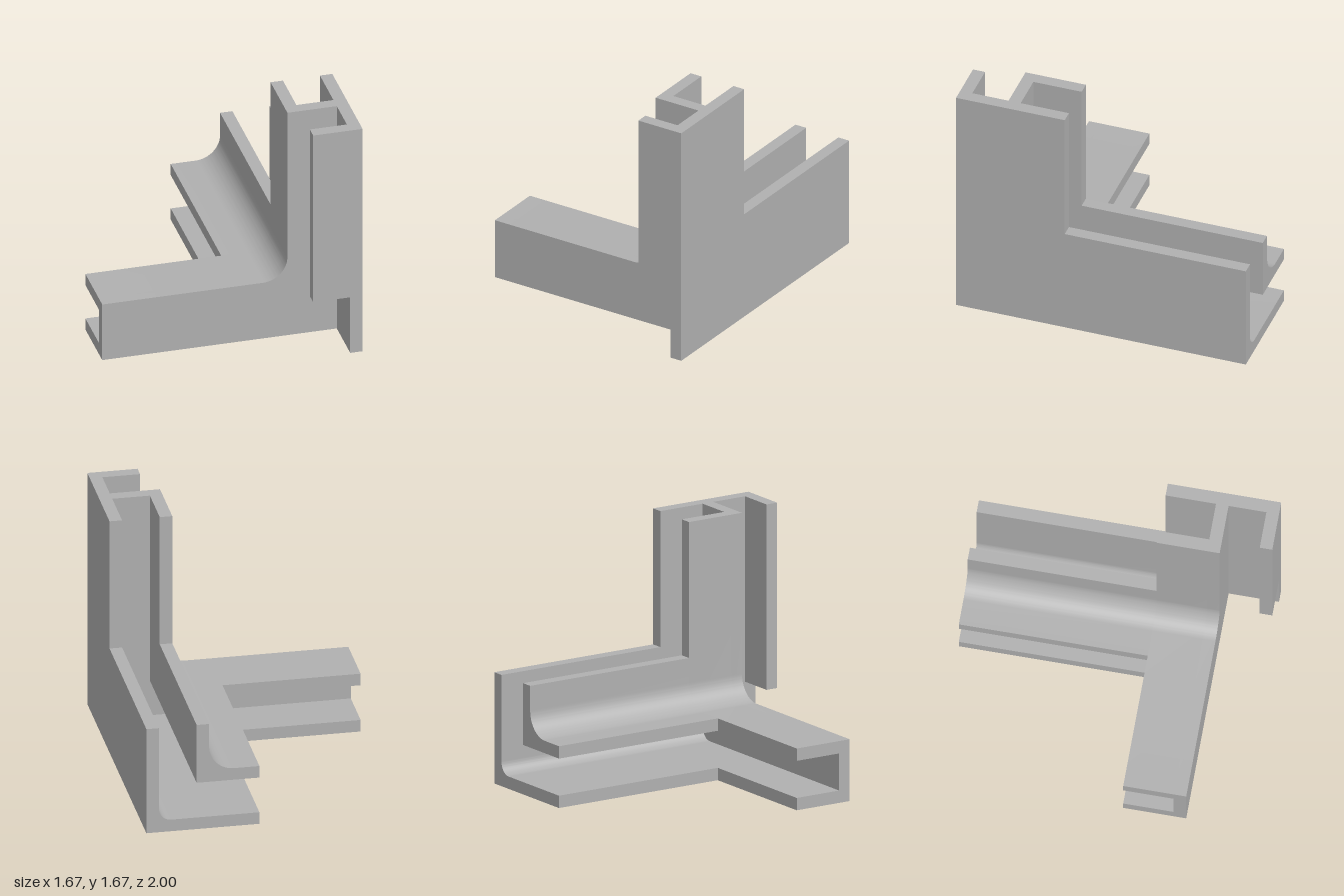
import * as THREE from 'three';
import { toCreasedNormals } from 'three/addons/utils/BufferGeometryUtils.js';

const T = 1 / 12; // wall thickness; every size is a multiple of it

export function createModel() {
  const group = new THREE.Group();
  const grey = new THREE.MeshStandardMaterial({ color: 0xb0b0b0 });
  grey.name = 'plain grey';

  // Extrude an outline in x/y between two z positions
  function extrude(name, shape, z0, z1) {
    const geo = new THREE.ExtrudeGeometry(shape, { depth: z1 - z0, bevelEnabled: false, curveSegments: 16 });
    geo.translate(0, 0, z0);
    const mesh = new THREE.Mesh(toCreasedNormals(geo, 0.5), grey);
    mesh.name = name;
    group.add(mesh);
  }

  // L-shaped section: floor running to the left, wall running up, filleted inside corner
  function bracket(left, top, x, y, r) {
    const s = new THREE.Shape();
    s.moveTo(left, y);
    s.lineTo(x, y);
    s.lineTo(x, top);
    s.lineTo(x - T, top);
    s.absarc(x - T - r, y + T + r, r, 0, -Math.PI / 2, true);
    s.lineTo(left, y + T);
    return s;
  }

  function box(name, x0, x1, y0, y1, z0, z1) {
    const mesh = new THREE.Mesh(new THREE.BoxGeometry(x1 - x0, y1 - y0, z1 - z0), grey);
    mesh.position.set((x0 + x1) / 2, (y0 + y1) / 2, (z0 + z1) / 2);
    mesh.name = name;
    group.add(mesh);
  }

  // Outer and inner shells: the rear arm, then the corner with the side and upright arms
  const spans = [
    ['rear', T, 9 * T, -1, 3 * T],
    ['corner', -10 * T, 20 * T, 3 * T, 7 * T],
  ];
  for (const [name, left, top, z0, z1] of spans) {
    extrude(name + 'OuterShell', bracket(left, top, 10 * T, 0, T), z0, z1);
    extrude(name + 'InnerShell', bracket(left, top, 6 * T, 4 * T, 2 * T), z0, z1);
  }

  // Front web closing the channels of the side and upright arms
  const web = new THREE.Shape();
  web.moveTo(-10 * T, 0);
  web.lineTo(10 * T, 0);
  web.lineTo(10 * T, 20 * T);
  web.lineTo(5 * T, 20 * T);
  web.absarc(3 * T, 7 * T, 2 * T, 0, -Math.PI / 2, true);
  web.lineTo(-10 * T, 5 * T);
  extrude('frontWeb', web, 7 * T, 8 * T);

  // Side wall continued forward, with a lip turned inward
  box('frontSideWall', 9 * T, 10 * T, 0, 20 * T, 8 * T, 1);
  box('frontLip', 6 * T, 9 * T, 5 * T, 20 * T, 11 * T, 1);

  return group;
}
